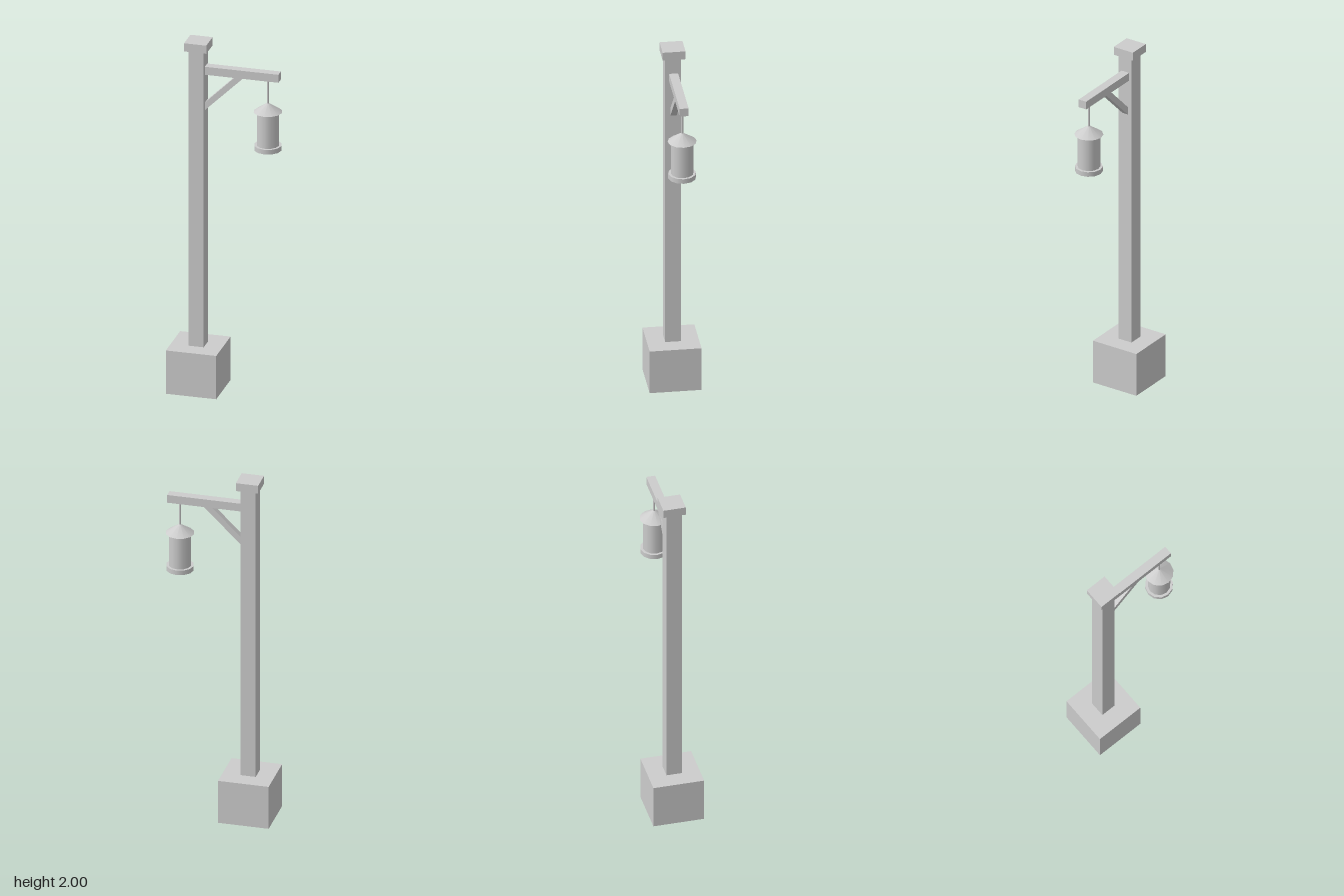
import * as THREE from 'three';

export function createModel() {
  const model = new THREE.Group();
  model.name = 'lanternPost';
  const grey = new THREE.MeshStandardMaterial({ name: 'light grey', color: 0xcccccc });

  const add = (name, geometry, x, y, z = 0, parent = model) => {
    const mesh = new THREE.Mesh(geometry, grey);
    mesh.name = name;
    mesh.position.set(x, y, z);
    parent.add(mesh);
    return mesh;
  };
  // Box spanning a height range
  const block = (name, x, width, y0, y1, depth, z = 0) =>
    add(name, new THREE.BoxGeometry(width, y1 - y0, depth), x, (y0 + y1) / 2, z);

  // Footing, post and cap
  const postX = -0.163;
  block('footing', postX, 0.279, 0, 0.25, 0.279);
  block('post', postX, 0.085, 0.25, 1.955, 0.085);
  block('postCap', postX, 0.123, 1.953, 2, 0.123, -0.003);

  // Horizontal arm
  block('arm', 0.083, 0.408, 1.815, 1.861, 0.048, -0.003);

  // Diagonal brace between post and arm
  const brace = new THREE.Shape([
    [-0.122, 1.608], [0.092, 1.817], [0.045, 1.817], [-0.122, 1.652],
  ].map(([x, y]) => new THREE.Vector2(x, y)));
  add('brace', new THREE.ExtrudeGeometry(brace, { depth: 0.034, bevelEnabled: false }), 0, 0, -0.019);

  // Hanging lantern, built around its own vertical axis
  const lantern = new THREE.Group();
  lantern.name = 'lantern';
  lantern.position.set(0.223, 0, -0.001);
  model.add(lantern);
  const round = (name, rTop, rBottom, y0, y1, sides = 12) =>
    add(name, new THREE.CylinderGeometry(rTop, rBottom, y1 - y0, sides), 0, (y0 + y1) / 2, 0, lantern);
  round('hanger', 0.006, 0.006, 1.67, 1.816, 8);
  round('lanternRoof', 0.006, 0.078, 1.633, 1.682);
  round('lanternBody', 0.061, 0.061, 1.44, 1.634);
  round('lanternBase', 0.075, 0.075, 1.415, 1.442);

  return model;
}
